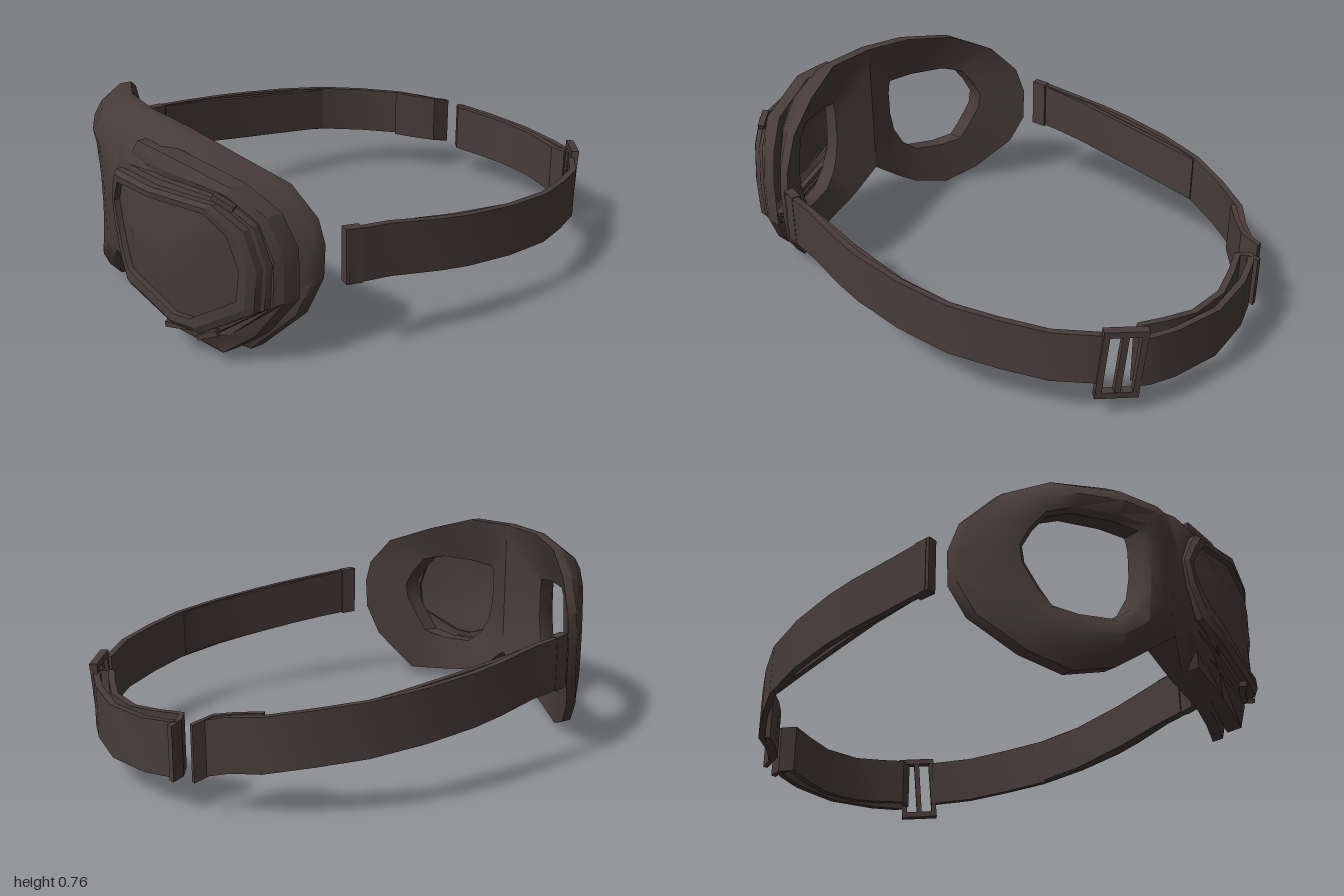
import * as THREE from 'three';
import { toCreasedNormals } from 'three/addons/utils/BufferGeometryUtils.js';

const leather = new THREE.MeshStandardMaterial({ color: 0x483c3b, side: THREE.DoubleSide });
leather.name = 'dark brown leather';

// piecewise-linear lookup through [position, value] pairs
function ramp(pairs, t) {
  for (let i = 1; i < pairs.length; i++) {
    const [a, va] = pairs[i - 1], [b, vb] = pairs[i];
    if ((t - a) * (t - b) <= 0 || i === pairs.length - 1) return va + (vb - va) * (t - a) / (b - a);
  }
}

// skin a list of equal-length closed loops
function loft(loops, crease = 0.6, caps = false) {
  const n = loops[0].length, index = [];
  for (let r = 0; r < loops.length - 1; r++) {
    for (let i = 0; i < n; i++) {
      const j = (i + 1) % n, a = r * n + i, b = r * n + j;
      index.push(a, b, b + n, a, b + n, a + n);
    }
  }
  if (caps) {
    const e = (loops.length - 1) * n;
    for (let i = 1; i < n - 1; i++) index.push(0, i + 1, i, e, e + i, e + i + 1);
  }
  const g = new THREE.BufferGeometry();
  g.setAttribute('position', new THREE.Float32BufferAttribute(loops.flat(2), 3));
  g.setIndex(index);
  return toCreasedNormals(g, crease);
}

function part(group, name, geometry) {
  const m = new THREE.Mesh(geometry, leather);
  m.name = name;
  group.add(m);
  return m;
}

const mix = (a, b, t) => a + (b - a) * t;
// rear of the pad edge, coming forward towards the cheeks
const padBack = (x, y) => ramp([[0, 0.785], [0.2, 0.765], [0.43, 0.665], [0.67, 0.515]], x)
  + 0.2 * Math.max(0, 0.3 - y) * Math.min(1, x / 0.2);
const padFront = x => ramp([[0, 0.95], [0.15, 0.945], [0.3, 0.885], [0.4, 0.83], [0.5, 0.745], [0.67, 0.585]], x);
const lensZ = x => ramp([[0, 0.955], [0.17, 0.985], [0.43, 0.922], [0.6, 0.79], [0.68, 0.72]], x);

// pad outlines from top centre, round the cheek, up the bridge; then the eye opening
const bridge = [[0.12, 0.125], [0, 0.215], [0, 0.35], [0, 0.55], [0, 0.68]];
const rightOuter = [[0, 0.765], [0.2, 0.757], [0.39, 0.735], [0.54, 0.66], [0.635, 0.55], [0.667, 0.44], [0.665, 0.31],
  [0.625, 0.19], [0.5, 0.065], [0.38, 0.008], [0.24, 0.045], ...bridge];
const leftOuter = [[0, 0.765], [0.21, 0.762], [0.39, 0.705], [0.56, 0.635], [0.64, 0.53], [0.66, 0.44], [0.655, 0.32],
  [0.62, 0.19], [0.5, 0.042], [0.38, 0.052], [0.26, 0.07], ...bridge];
const padHole = [[0.16, 0.555], [0.25, 0.57], [0.38, 0.575], [0.45, 0.555], [0.485, 0.5], [0.51, 0.44], [0.505, 0.38],
  [0.47, 0.29], [0.44, 0.225], [0.37, 0.2], [0.26, 0.2], [0.2, 0.25], [0.165, 0.32], [0.152, 0.4], [0.15, 0.5],
  [0.155, 0.54]];

function padHalf(side, outer) {
  const ring = (t, zOf) => outer.map(([x, y], i) => {
    const px = mix(x, padHole[i][0], t), py = mix(y, padHole[i][1], t);
    return [side * px, py, zOf(px, py, i)];
  });
  const edge = (x, y, i) => ({ 12: 0.91, 13: 0.945, 14: 0.945, 15: 0.92 })[i] ?? padBack(x, y) + 0.045;
  return loft([
    ring(0, padBack),
    ring(0, edge),
    ring(0.3, (x, y, i) => mix(edge(x, y, i), padFront(x), 0.7)),
    ring(0.6, padFront),
    ring(0.9, x => padFront(x) - 0.01),
    ring(1, x => padFront(x) - 0.03),
    ring(1, x => padFront(x) - 0.095),
    ring(0, padBack),
  ], 0.7);
}

// outlines of the lens, its rim and the leather flange beneath
const lensLine = [[0.11, 0.58], [0.3, 0.59], [0.5, 0.585], [0.56, 0.52], [0.59, 0.4], [0.58, 0.29], [0.45, 0.2],
  [0.38, 0.195], [0.17, 0.28], [0.12, 0.33], [0.07, 0.42], [0.05, 0.49], [0.08, 0.54]];
const rimLine = [[0.08, 0.615], [0.3, 0.625], [0.52, 0.615], [0.6, 0.54], [0.63, 0.4], [0.62, 0.25], [0.47, 0.145],
  [0.37, 0.15], [0.16, 0.22], [0.08, 0.29], [0.035, 0.4], [0.02, 0.5], [0.05, 0.565]];
const flangeLine = [[0.13, 0.718], [0.3, 0.715], [0.52, 0.655], [0.61, 0.57], [0.65, 0.45], [0.65, 0.27], [0.57, 0.13],
  [0.48, 0.05], [0.27, 0.08], [0.12, 0.14], [0.06, 0.3], [0.03, 0.5], [0.14, 0.64]];

const line = (a, dz, b = a, t = 0) => a.map(([x, y], i) => {
  const px = mix(x, b[i][0], t), py = mix(y, b[i][1], t);
  return [px, py, lensZ(px) + dz];
});
const lensCentre = lensLine.map(() => [0.33, 0.4]);

// strap height and centre line along z
const strapY = z => ramp([[0.47, 0.4], [0.3, 0.387], [0, 0.35], [-0.5, 0.298], [-0.8, 0.258], [-1, 0.204]], z);

function ribbon(path, thick = 0.024, height = 0.195) {
  return loft(path.map(([x, z], i) => {
    const [ax, az] = path[Math.max(i - 1, 0)], [bx, bz] = path[Math.min(i + 1, path.length - 1)];
    const len = Math.hypot(bx - ax, bz - az), nx = (bz - az) / len * thick / 2, nz = (ax - bx) / len * thick / 2;
    const y = strapY(z), h = height / 2;
    return [[x + nx, y - h, z + nz], [x + nx, y + h, z + nz], [x - nx, y + h, z - nz], [x - nx, y - h, z - nz]];
  }), 0.5, true);
}

export function createModel() {
  const model = new THREE.Group();
  model.name = 'goggles';

  // face pad
  part(model, 'leftFacePad', padHalf(1, leftOuter));
  part(model, 'rightFacePad', padHalf(-1, rightOuter));

  // single lens assembly on the left eye
  const eye = new THREE.Group();
  eye.name = 'leftEyepiece';
  model.add(eye);
  part(eye, 'flange', loft([
    line(flangeLine, -0.13), line(flangeLine, -0.07), line(flangeLine, -0.05, rimLine, 0.5), line(rimLine, -0.055),
  ], 0.4));
  part(eye, 'lensRim', loft([
    line(rimLine, -0.08, flangeLine, 0.25), line(rimLine, -0.03, flangeLine, 0.22), line(rimLine, -0.025),
    line(rimLine, 0), line(rimLine, 0.012, lensLine, 0.4), line(lensLine, 0.008), line(lensLine, -0.02),
  ], 0.4));
  part(eye, 'lens', loft([
    line(lensLine, -0.012), line(lensLine, 0, lensCentre, 0.5), line(lensCentre, 0),
  ], 0.7));

  // small clips on the rim
  [[0.53, 0.62, 0.815, -0.45], [0.36, 0.137, 0.915, 0.05], [0.48, 0.14, 0.865, 0.4]].forEach(([x, y, z, tilt]) => {
    const clip = part(eye, 'rimClip', new THREE.BoxGeometry(0.08, 0.02, 0.025));
    clip.position.set(x, y, z);
    clip.rotation.set(0, 0.6, tilt);
  });

  // side straps with rolled front ends
  const sidePath = [[0.7, 0.46], [0.715, 0.3], [0.745, 0.12], [0.755, 0], [0.748, -0.2], [0.712, -0.4],
    [0.64, -0.56], [0.555, -0.71]];
  const straps = new THREE.Group();
  straps.name = 'straps';
  model.add(straps);
  const mirror = path => path.map(([x, z]) => [-x, z]);
  const hem = [[0.69, 0.47], [0.695, 0.44], [0.7, 0.41]];
  part(straps, 'leftStrap', ribbon([...sidePath, [0.43, -0.83]]));
  part(straps, 'rightStrap', ribbon(mirror([...sidePath, [0.47, -0.78], [0.42, -0.84]])));
  part(straps, 'leftStrapHem', ribbon(hem, 0.036, 0.2));
  part(straps, 'rightStrapHem', ribbon(mirror(hem), 0.036, 0.2));
  part(straps, 'leftStrapLining', ribbon([[0.698, 0.4], [0.712, 0.25], [0.732, 0.05], [0.738, -0.2], [0.708, -0.38]], 0.02, 0.185));
  part(straps, 'rightStrapLining', ribbon([[-0.7, 0.4], [-0.712, 0.2], [-0.715, 0], [-0.712, -0.2], [-0.706, -0.39]], 0.02, 0.185));
  part(straps, 'rightStrapFold', ribbon([[-0.54, -0.69], [-0.47, -0.755], [-0.42, -0.815], [-0.415, -0.89]], 0.02, 0.2));

  // back strap with a folded inner layer
  part(straps, 'backStrap', ribbon([[0.335, -0.91], [0.3, -0.93], [0.2, -0.96], [0, -0.988], [-0.2, -0.96],
    [-0.31, -0.92], [-0.345, -0.895]]));
  part(straps, 'backStrapLining', ribbon([[0.335, -0.895], [0.29, -0.875], [0.2, -0.91], [0.08, -0.948], [-0.08, -0.948],
    [-0.2, -0.91], [-0.3, -0.87], [-0.34, -0.9], [-0.345, -0.935]], 0.024));

  // sliding buckle: two rails and three bars
  const buckle = new THREE.Group();
  buckle.name = 'buckle';
  for (const y of [-0.128, 0.128]) {
    part(buckle, 'buckleRail', new THREE.BoxGeometry(0.155, 0.024, 0.03)).position.y = y;
  }
  for (const x of [-0.066, 0, 0.066]) {
    part(buckle, 'buckleBar', new THREE.BoxGeometry(0.022, 0.26, 0.028)).position.x = x;
  }
  buckle.position.set(0.385, 0.228, -0.875);
  buckle.rotation.set(-0.06, -0.66, 0.04);
  model.add(buckle);

  return model;
}
